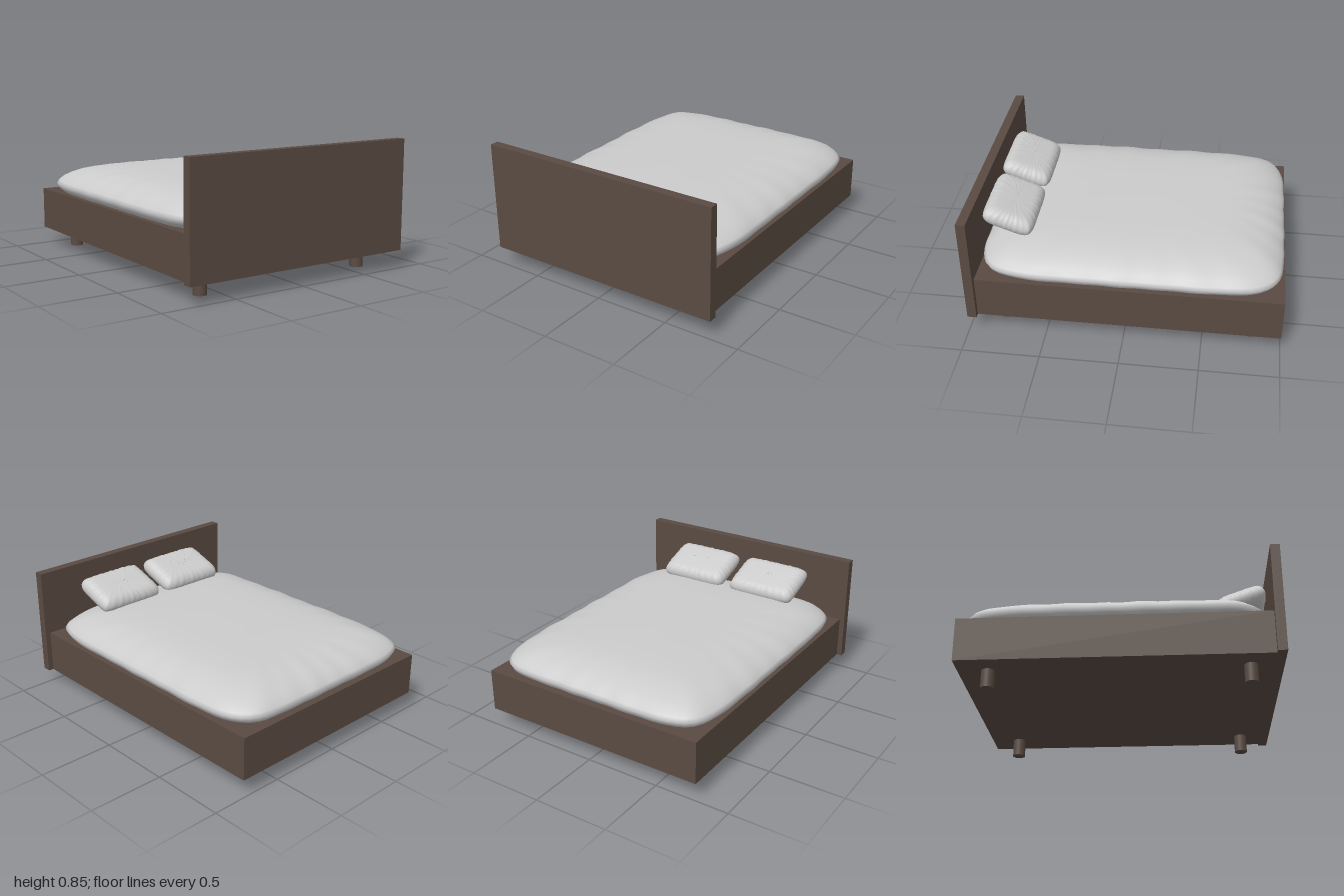
import * as THREE from 'three';

const wood = new THREE.MeshStandardMaterial({ color: 0x5a4b42 });
const fabric = new THREE.MeshStandardMaterial({ color: 0xcccccc });

function addMesh(parent, name, geometry, material, x, y, z) {
  const mesh = new THREE.Mesh(geometry, material);
  mesh.name = name;
  mesh.position.set(x, y, z);
  parent.add(mesh);
  return mesh;
}

// Soft cushion: rounded-rectangle rings stacked from bottom to top.
// profile holds [inset from the outline, height]; the ends close on an inset of hx.
function cushion(hx, hz, power, profile, ripple, waves) {
  const segs = 128, pos = [], index = [];
  profile.forEach(([inset, y]) => {
    const fold = inset > 0.001 && inset < 0.22 ? ripple : ripple * 0.4;
    for (let j = 0; j < segs; j++) {
      const t = (j / segs) * Math.PI * 2, c = Math.cos(t), s = Math.sin(t);
      const r = Math.pow(Math.abs(c) ** power + Math.abs(s) ** power, -1 / power);
      // gentle fabric folds along the sides
      const w = inset > 0.3 ? 0 : fold * (Math.sin(waves * t) + 0.6 * Math.sin(waves * 0.5 * t + 1) - 1);
      pos.push(c * r * Math.max(0, hx - inset + w), y + w * 0.3, s * r * Math.max(0, hz - inset + w));
    }
  });
  for (let i = 0; i < profile.length - 1; i++) {
    for (let j = 0; j < segs; j++) {
      const k = (j + 1) % segs;
      const a = i * segs + j, b = a + segs, c = i * segs + k, d = c + segs;
      index.push(a, b, c, c, b, d);
    }
  }
  const g = new THREE.BufferGeometry();
  g.setAttribute('position', new THREE.Float32BufferAttribute(pos, 3));
  g.setIndex(index);
  g.computeVertexNormals();
  return g;
}

export function createModel() {
  const bed = new THREE.Group();
  bed.name = 'bed';

  // Frame
  addMesh(bed, 'headboard', new THREE.BoxGeometry(1.63, 0.727, 0.06), wood, 0, 0.4815, 0.97);
  addMesh(bed, 'base', new THREE.BoxGeometry(1.56, 0.282, 1.94), wood, 0, 0.259, -0.03);

  // Legs
  for (const x of [-0.615, 0.615]) {
    for (const z of [-0.81, 0.797]) {
      addMesh(bed, 'leg', new THREE.CylinderGeometry(0.043, 0.043, 0.12, 24), wood, x, 0.06, z);
    }
  }

  // Mattress with a soft, rolled edge
  const mattressProfile = [
    [0.785, 0.392], [0.2, 0.392], [0.045, 0.395], [0.012, 0.425], [0, 0.457], [0.012, 0.478],
    [0.04, 0.505], [0.085, 0.532], [0.14, 0.555], [0.21, 0.573], [0.29, 0.584], [0.4, 0.59],
    [0.55, 0.594], [0.785, 0.595],
  ];
  addMesh(bed, 'mattress', cushion(0.785, 0.965, 7, mattressProfile, 0.003, 26), fabric, 0, 0, -0.027);

  // Pillows leaning on the headboard
  const hx = 0.247, half = 0.066;
  const pillowProfile = [[hx, -half], [0.12, -half]];
  for (let i = 0; i <= 12; i++) {
    const a = -Math.PI / 2 + (i / 12) * Math.PI;
    pillowProfile.push([0.07 * (1 - Math.cos(a)), half * 0.97 * Math.sin(a)]);
  }
  pillowProfile.push([0.12, half], [hx, half]);
  for (const x of [-0.278, 0.278]) {
    const pillow = addMesh(bed, 'pillow', cushion(hx, 0.17, 8, pillowProfile, 0.0015, 32), fabric, x, 0.648, 0.772);
    pillow.rotation.x = -0.35;
  }
  return bed;
}
